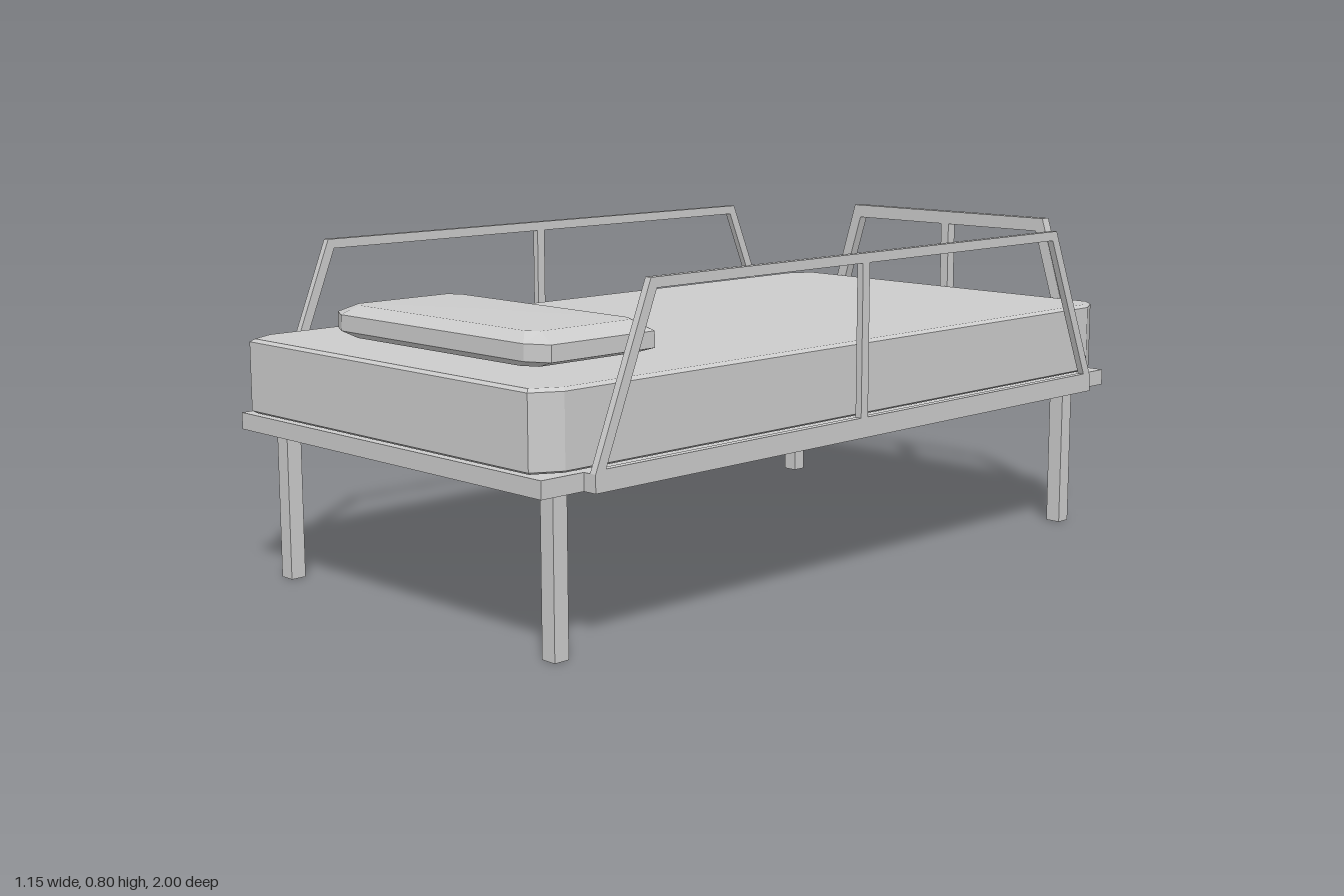
import * as THREE from 'three';

const material = new THREE.MeshStandardMaterial({ color: 0xcccccc, flatShading: true });

function add(parent, name, geometry) {
  const mesh = new THREE.Mesh(geometry, material);
  mesh.name = name;
  parent.add(mesh);
  return mesh;
}

// Box given by its extents on each axis
function box(parent, name, [x0, x1], [y0, y1], [z0, z1]) {
  const mesh = add(parent, name, new THREE.BoxGeometry(x1 - x0, y1 - y0, z1 - z0));
  mesh.position.set((x0 + x1) / 2, (y0 + y1) / 2, (z0 + z1) / 2);
  return mesh;
}

// Trapezoid frame with two openings either side of a centre post
function frame({ base, top, mid, post, bar, side, depth }) {
  const yFoot = 0.365, yBase = 0.405, yTop = 0.795, ySill = 0.413, yHead = yTop - bar;
  const shape = new THREE.Shape([
    [base[0], yFoot], [base[1], yFoot], [base[1], yBase],
    [top[1], yTop], [top[0], yTop], [base[0], yBase],
  ].map(p => new THREE.Vector2(...p)));
  const edge = (i, y) => THREE.MathUtils.mapLinear(y, yBase, yTop, base[i], top[i]) + (i ? -side : side);
  const openings = [
    [[edge(0, ySill), ySill], [edge(0, yHead), yHead], [mid - post, yHead], [mid - post, ySill]],
    [[mid + post, ySill], [mid + post, yHead], [edge(1, yHead), yHead], [edge(1, ySill), ySill]],
  ];
  for (const points of openings) {
    shape.holes.push(new THREE.Path(points.map(p => new THREE.Vector2(...p))));
  }
  return new THREE.ExtrudeGeometry(shape, { depth, bevelEnabled: false });
}

// Cushion lofted through chamfered rectangles: [y, half width, half length, chamfer x, chamfer z]
function cushion(rings, crown = 0) {
  const pos = [], index = [], n = 8;
  for (const [y, w, l, cx, cz] of rings) {
    const outline = [
      [w, l - cz], [w, cz - l], [w - cx, -l], [cx - w, -l],
      [-w, cz - l], [-w, l - cz], [cx - w, l], [w - cx, l],
    ];
    for (const [x, z] of outline) pos.push(x, y, z);
  }
  for (let r = 0; r < rings.length - 1; r++) {
    for (let i = 0; i < n; i++) {
      const a = r * n + i, b = r * n + (i + 1) % n;
      index.push(a, b, b + n, a, b + n, a + n);
    }
  }
  const last = rings.length - 1, low = rings.length * n, high = low + 1;
  pos.push(0, rings[0][0], 0, 0, rings[last][0] + crown, 0);
  for (let i = 0; i < n; i++) {
    const j = (i + 1) % n;
    index.push(low, j, i, high, last * n + i, last * n + j);
  }
  const geometry = new THREE.BufferGeometry();
  geometry.setAttribute('position', new THREE.Float32BufferAttribute(pos, 3));
  geometry.setIndex(index);
  geometry.computeVertexNormals();
  return geometry;
}

export function createModel() {
  const bed = new THREE.Group();
  bed.name = 'bed';

  // Platform and legs
  box(bed, 'platform', [-0.54, 0.54], [0.365, 0.405], [-0.972, 1]);
  for (const s of [-1, 1]) {
    for (const [z0, z1] of [[0.893, 0.932], [-0.894, -0.855]]) {
      const x = s * 0.477;
      box(bed, 'leg', [x - 0.02, x + 0.02], [0, 0.365], [z0, z1]);
    }
  }

  // Side rails, each on a ledge along the platform edge
  for (const s of [-1, 1]) {
    const rail = new THREE.Group();
    rail.name = s > 0 ? 'leftRail' : 'rightRail';
    const panel = add(rail, 'railFrame', frame({
      base: [-0.885, 0.862], top: [-0.727, 0.695], mid: -0.046,
      post: 0.012, bar: 0.023, side: 0.026, depth: 0.017,
    }));
    panel.rotation.y = Math.PI / 2;
    panel.position.x = s > 0 ? 0.559 : -0.576;
    const x = s * 0.5495;
    box(rail, 'railLedge', [x - 0.0095, x + 0.0095], [0.365, 0.405], [-0.862, 0.885]);
    bed.add(rail);
  }

  // End rail at the back
  const endRail = add(bed, 'endRail', frame({
    base: [-0.455, 0.455], top: [-0.333, 0.333], mid: 0,
    post: 0.013, bar: 0.035, side: 0.032, depth: 0.028,
  }));
  endRail.position.z = -1;

  // Mattress with slightly eased top and bottom edges
  const mattress = add(bed, 'mattress', cushion([
    [0.408, 0.525, 0.974, 0.035, 0.065],
    [0.414, 0.536, 0.983, 0.037, 0.067],
    [0.578, 0.536, 0.983, 0.037, 0.067],
    [0.585, 0.525, 0.974, 0.035, 0.065],
  ]));
  mattress.position.z = 0.015;

  // Pillow
  const pillow = add(bed, 'pillow', cushion([
    [0.592, 0.33, 0.16, 0.04, 0.02],
    [0.607, 0.381, 0.18, 0.055, 0.03],
    [0.645, 0.381, 0.18, 0.055, 0.03],
    [0.667, 0.325, 0.15, 0.03, 0.02],
  ], 0.004));
  pillow.position.z = 0.68;

  return bed;
}
